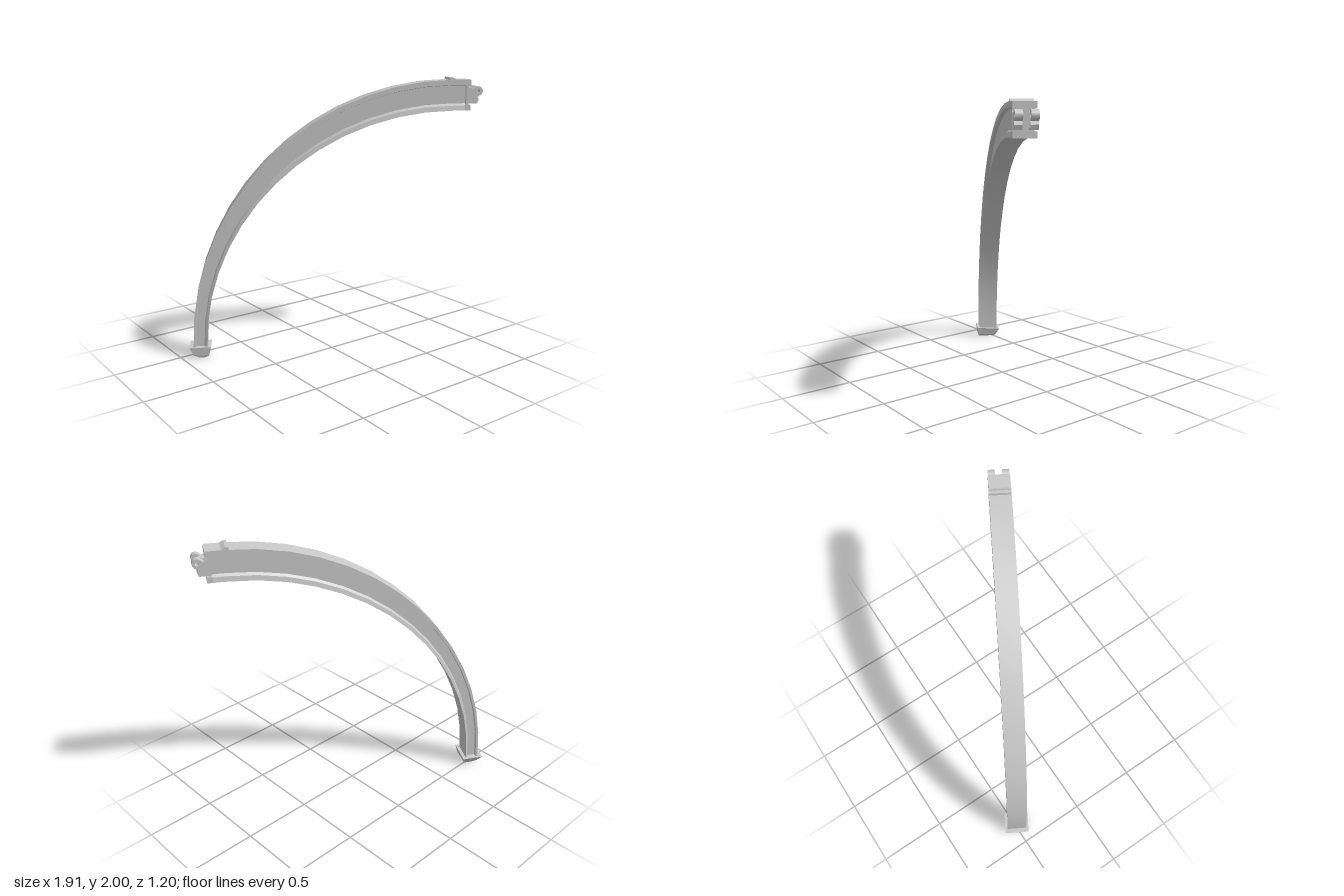
import * as THREE from 'three';

const steel = new THREE.MeshStandardMaterial({ color: 0xc8c8c8 });
steel.name = 'light grey metal';

// Skins a list of closed sections; every profile edge is its own strip so edges stay sharp
function loft(sections, { smooth = true, caps = false } = {}) {
  const pos = [], index = [], n = sections[0].length;
  for (let k = 0; k < n; k++) {
    const base = pos.length / 3;
    sections.forEach((s, i) => {
      pos.push(...s[k], ...s[(k + 1) % n]);
      if (i === sections.length - 1) return;
      const a = base + i * 2;
      index.push(a, a + 1, a + 2, a + 1, a + 3, a + 2);
    });
  }
  if (caps) {
    [sections[0], sections[sections.length - 1]].forEach((s, end) => {
      const base = pos.length / 3;
      s.forEach((p) => pos.push(...p));
      for (let k = 1; k < n - 1; k++) {
        index.push(base, base + (end ? k : k + 1), base + (end ? k + 1 : k));
      }
    });
  }
  let g = new THREE.BufferGeometry();
  g.setAttribute('position', new THREE.Float32BufferAttribute(pos, 3));
  g.setIndex(index);
  if (!smooth) g = g.toNonIndexed();
  g.computeVertexNormals();
  return g;
}

export function createModel() {
  const model = new THREE.Group();
  model.name = 'curvedArm';
  const arm = new THREE.Group();
  arm.name = 'arm';
  arm.rotation.y = -Math.PI / 6;
  model.add(arm);

  const add = (name, geometry, x = 0, y = 0, z = 0) => {
    const m = new THREE.Mesh(geometry, steel);
    m.name = name;
    m.position.set(x, y, z);
    arm.add(m);
    return m;
  };
  const box = (name, x0, x1, y0, y1, z0, z1) =>
    add(name, new THREE.BoxGeometry(x1 - x0, y1 - y0, z1 - z0),
      (x0 + x1) / 2, (y0 + y1) / 2, (z0 + z1) / 2);

  // Beam: channelled on both sides, thickening from foot to tip; [half width, outer-to-inner]
  const half = [[0.073, 0], [0.073, 0.17], [0.048, 0.19], [0.048, 0.77], [0.066, 0.84], [0.073, 1]];
  const profile = [...half, ...half.slice().reverse().map(([w, s]) => [-w, s])];
  const section = (ox, oy, ix, iy) =>
    profile.map(([w, s]) => [ox + (ix - ox) * s, oy + (iy - oy) * s, w]);
  const stations = [section(-1.02, 0.05, -0.92, 0.05)];
  const steps = 14;
  for (let i = 0; i <= steps; i++) {
    const t = (i / steps) * Math.PI / 2, c = Math.cos(t), s = Math.sin(t);
    stations.push(section(0.85 - 1.87 * c, 0.08 + 1.905 * s, 0.85 - 1.77 * c, 0.08 + 1.69 * s));
  }
  stations.push(section(0.95, 1.985, 0.95, 1.77));
  add('beam', loft(stations));

  // Foot: flared block with a tapered underside, its top dipping towards the back
  const ring = (y, x0, x1, z0, z1, dip = 0) =>
    [[x0, y, z1], [x1, y, z1], [x1, y - dip, z0], [x0, y - dip, z0]];
  add('foot', loft([
    ring(0, -0.98, -0.93, -0.05, 0.08),
    ring(0.018, -1.02, -0.91, -0.065, 0.085),
    ring(0.08, -1.052, -0.895, -0.092, 0.092, 0.015),
  ], { smooth: false, caps: true }));

  // Tip: end plate between two lips, and a low ridge on top
  box('endPlate', 0.94, 0.957, 1.77, 1.985, -0.06, 0.073);
  box('upperLip', 0.935, 0.972, 1.94, 1.985, -0.073, 0.073);
  box('lowerLip', 0.935, 0.972, 1.77, 1.81, -0.073, 0.073);
  const ridge = new THREE.Shape([[0.815, 1.975], [0.9, 1.975], [0.86, 1.988], [0.84, 2], [0.82, 2]]
    .map(([x, y]) => new THREE.Vector2(x, y)));
  add('topRidge', new THREE.ExtrudeGeometry(ridge, { depth: 0.146, bevelEnabled: false }), 0, 0, -0.073);

  // Hinge: block with two rounded, drilled lugs
  box('hingeBlock', 0.95, 1.012, 1.83, 1.925, -0.03, 0.03);
  const lug = new THREE.Shape();
  lug.moveTo(0.95, 1.82);
  lug.lineTo(1.02, 1.82);
  lug.lineTo(1.03, 1.85);
  lug.lineTo(1.02, 1.873);
  lug.absarc(1.025, 1.905, 0.033, -Math.PI / 2, Math.PI * 0.75, false);
  lug.lineTo(0.98, 1.915);
  lug.lineTo(0.95, 1.935);
  lug.closePath();
  const eye = new THREE.Path();
  eye.absarc(1.025, 1.905, 0.013, 0, Math.PI * 2, true);
  lug.holes.push(eye);
  const lugGeometry = new THREE.ExtrudeGeometry(lug, { depth: 0.048, bevelEnabled: false, curveSegments: 10 });
  add('frontLug', lugGeometry, 0, 0, 0.024);
  add('backLug', lugGeometry, 0, 0, -0.072);

  return model;
}
